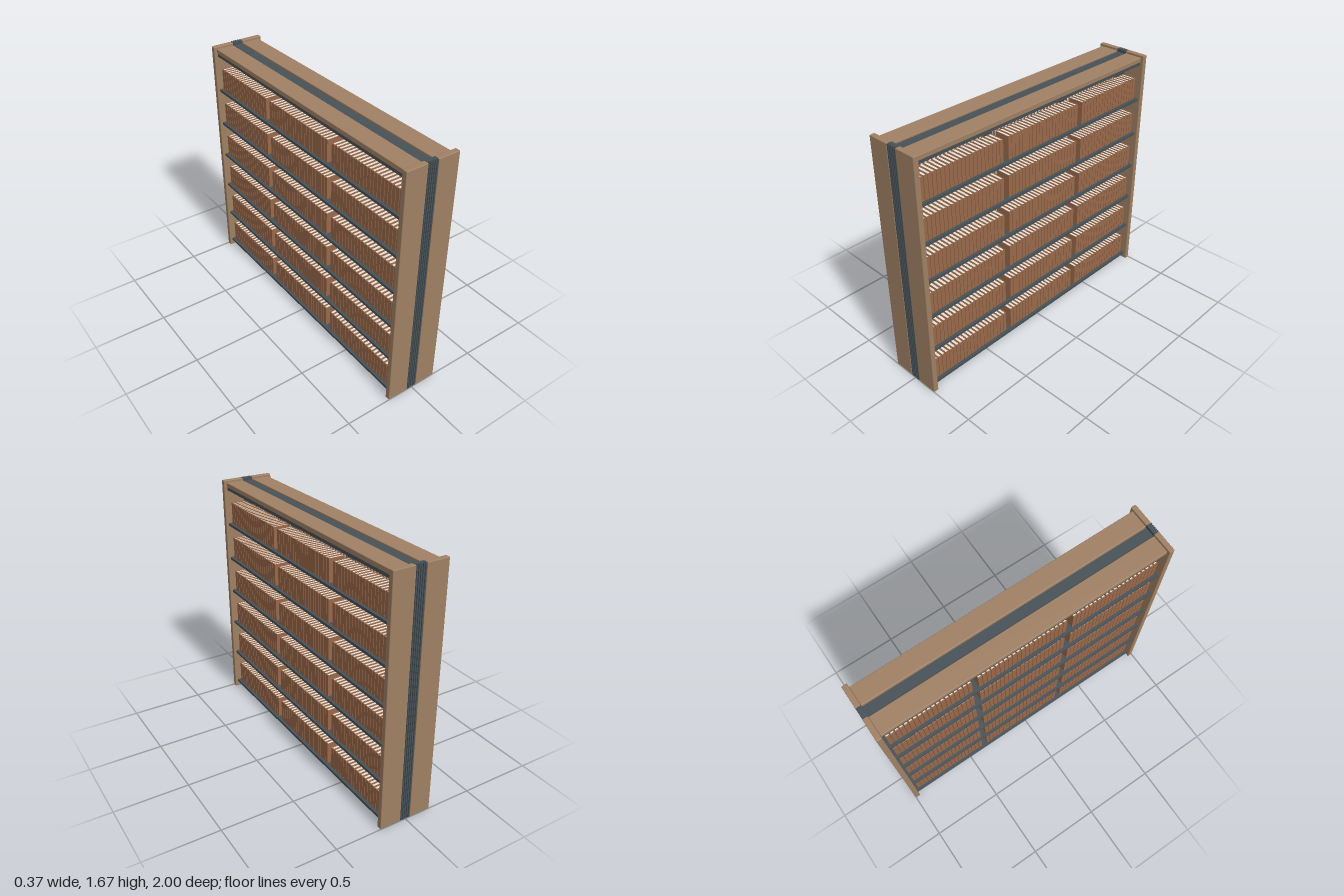
import * as THREE from 'three';
import { mergeGeometries } from 'three/addons/utils/BufferGeometryUtils.js';
import { RoundedBoxGeometry } from 'three/addons/geometries/RoundedBoxGeometry.js';

const wood = new THREE.MeshStandardMaterial({ color: 0xa08064 });
wood.name = 'wood';
const metal = new THREE.MeshStandardMaterial({ color: 0x465157 });
metal.name = 'dark metal';
const cover = new THREE.MeshStandardMaterial({ color: 0x99694a });
cover.name = 'book cover';
const paper = new THREE.MeshStandardMaterial({ color: 0xeeeae2 });
paper.name = 'paper';

// Box geometry given by its limits on each axis
function box(x0, x1, y0, y1, z0, z1) {
  return new THREE.BoxGeometry(x1 - x0, y1 - y0, z1 - z0)
    .translate((x0 + x1) / 2, (y0 + y1) / 2, (z0 + z1) / 2);
}

function roundedBox(x0, x1, y0, y1, z0, z1, radius) {
  return new RoundedBoxGeometry(x1 - x0, y1 - y0, z1 - z0, 2, radius)
    .translate((x0 + x1) / 2, (y0 + y1) / 2, (z0 + z1) / 2);
}

function part(name, geometries, material) {
  const mesh = new THREE.Mesh(mergeGeometries(geometries), material);
  mesh.name = name;
  return mesh;
}

// Limits along x for one side of the case, s = 1 or -1
function sideX(s, inner, outer) {
  return s > 0 ? [inner, outer] : [-outer, -inner];
}

const HEIGHT = 1.67;
const INNER_Z = 0.965;
const ROWS = 6;
const shelfY = (row) => 0.04 + row * 0.26;
const postZ = [0.3, -0.365];
const bookRuns = [[0.32, 0.945], [-0.345, 0.28], [-0.95, -0.385]];

// End: two wooden boards with a fluted metal strip between them
function createEnd(e) {
  const end = new THREE.Group();
  end.name = e > 0 ? 'frontEnd' : 'backEnd';
  const boards = [1, -1].map((s) =>
    roundedBox(...sideX(s, 0.036, 0.185), 0, HEIGHT, INNER_Z, 1, 0.005));
  const strip = [box(-0.036, 0.036, 0, HEIGHT, INNER_Z, 0.987)];
  for (let i = -2; i <= 2; i++) {
    const x = i * 0.0145;
    strip.push(box(x - 0.0048, x + 0.0048, 0, HEIGHT, 0.986, 0.999));
  }
  end.add(part('endBoards', boards, wood), part('flutedStrip', strip, metal));
  if (e < 0) end.rotation.y = Math.PI;
  return end;
}

// Canopy: wooden boards over a metal tray, with a central channel
function createTop() {
  const top = new THREE.Group();
  top.name = 'top';
  const boards = [1, -1].map((s) =>
    roundedBox(...sideX(s, 0.038, 0.165), 1.622, 1.655, -INNER_Z, INNER_Z, 0.004));
  const tray = [
    box(-0.16, 0.16, 1.6, 1.62, -INNER_Z, INNER_Z),
    box(-0.032, 0.032, 1.62, 1.648, -INNER_Z, INNER_Z),
  ];
  top.add(part('topBoards', boards, wood), part('topTray', tray, metal));
  return top;
}

// Shelf plates on both sides joined by a raised centre beam
function createShelves() {
  const plates = [];
  for (let row = 0; row < ROWS; row++) {
    const y = shelfY(row);
    for (const s of [1, -1]) {
      plates.push(box(...sideX(s, 0.03, 0.165), y, y + 0.018, -INNER_Z, INNER_Z));
    }
    plates.push(box(-0.03, 0.03, y, y + 0.04, -INNER_Z, INNER_Z));
  }
  return part('shelves', plates, metal);
}

// Slim uprights with a small bracket under every shelf
function createPosts() {
  const pieces = [];
  for (const z of postZ) {
    pieces.push(box(-0.025, 0.025, 0.04, 1.61, z - 0.008, z + 0.008));
    for (let row = 1; row < ROWS; row++) {
      const y = shelfY(row);
      pieces.push(box(-0.05, 0.05, y - 0.02, y, z - 0.007, z + 0.007));
    }
  }
  return part('posts', pieces, metal);
}

// Books: U-shaped covers around slightly recessed pages, spines outward
function createBooks(s) {
  const covers = [];
  const pages = [];
  const board = 0.004;
  const [x0, x1] = sideX(s, 0.036, 0.145);
  const spine = sideX(s, 0.139, 0.145);
  const block = sideX(s, 0.039, 0.139);
  for (let row = 0; row < ROWS; row++) {
    const y0 = shelfY(row) + 0.018;
    const y1 = shelfY(row) + 0.17;
    for (const [start, stop] of bookRuns) {
      const count = Math.round((stop - start) / 0.0298);
      const pitch = (stop - start) / count;
      for (let i = 0; i < count; i++) {
        const a = start + i * pitch + 0.0018;
        const b = start + (i + 1) * pitch - 0.0018;
        covers.push(
          box(x0, x1, y0, y1, a, a + board),
          box(x0, x1, y0, y1, b - board, b),
          box(...spine, y0, y1, a + board, b - board),
        );
        pages.push(box(...block, y0 + 0.003, y1 - 0.003, a + board, b - board));
      }
    }
  }
  const books = new THREE.Group();
  books.name = s > 0 ? 'leftBooks' : 'rightBooks';
  books.add(part('bookCovers', covers, cover), part('bookPages', pages, paper));
  return books;
}

export function createModel() {
  const bookcase = new THREE.Group();
  bookcase.name = 'doubleSidedBookcase';
  bookcase.add(createTop(), createShelves(), createPosts());
  for (const s of [1, -1]) bookcase.add(createEnd(s), createBooks(s));
  return bookcase;
}
